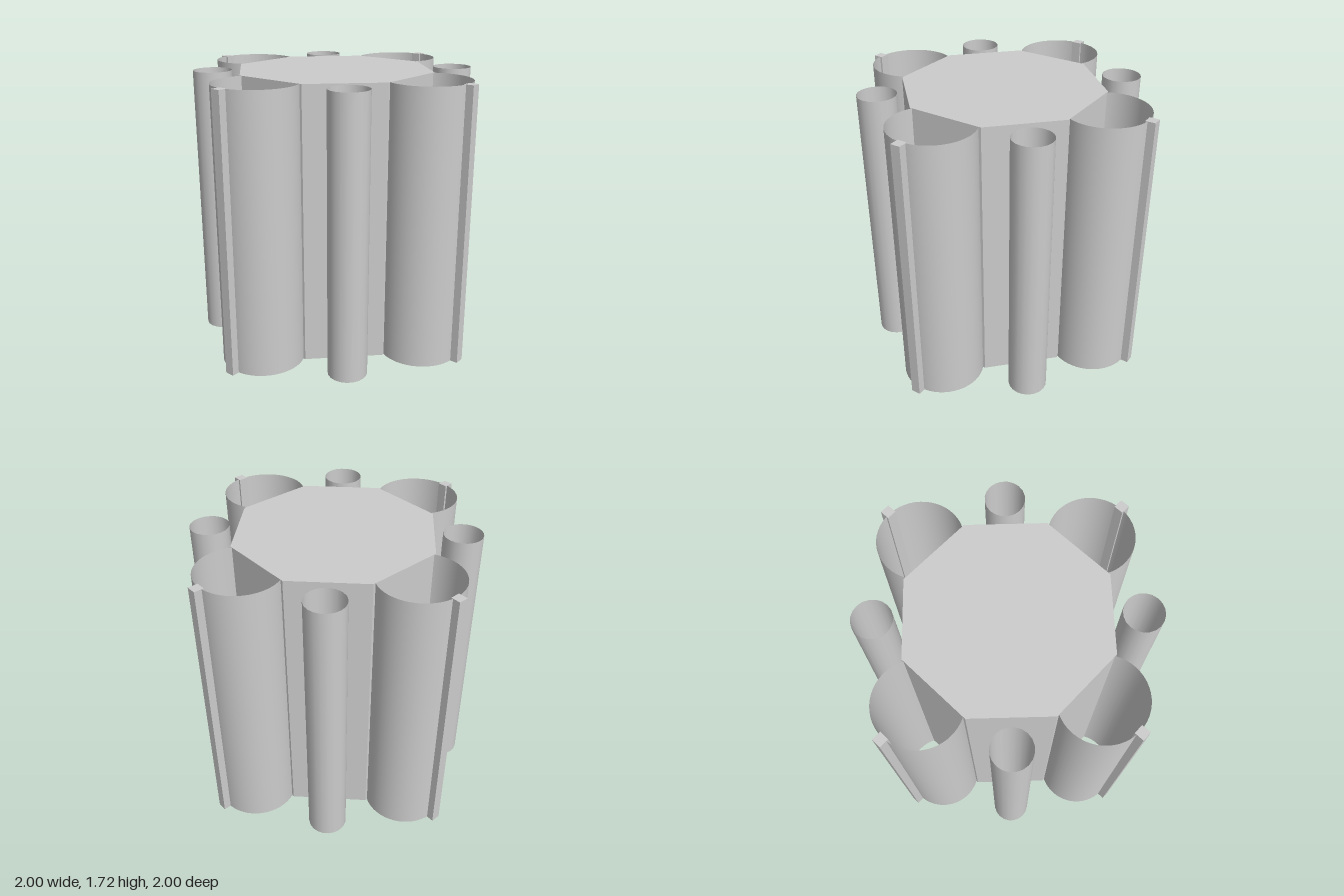
import * as THREE from 'three';

const H = 1.72;

export function createModel() {
  const model = new THREE.Group();
  const solidGrey = new THREE.MeshStandardMaterial({ color: 0xcccccc, flatShading: true });
  solidGrey.name = 'solid grey';
  // same grey for the open shells, seen from both sides
  const shellGrey = new THREE.MeshStandardMaterial({ color: 0xcccccc, side: THREE.DoubleSide });
  shellGrey.name = 'shell grey';

  const add = (name, geometry, material, x, z, turn = 0) => {
    const mesh = new THREE.Mesh(geometry, material);
    mesh.name = name;
    mesh.position.set(x, H / 2, z);
    mesh.rotation.y = turn;
    model.add(mesh);
  };

  // solid octagonal core
  add('core', new THREE.CylinderGeometry(0.634, 0.634, H, 8), solidGrey, 0, 0, Math.PI / 8);

  // open curved bays, ending just inside the core
  const reach = THREE.MathUtils.degToRad(117);
  const bay = new THREE.CylinderGeometry(0.255, 0.255, H, 32, 1, true, -reach, 2 * reach);
  const post = new THREE.BoxGeometry(0.06, H, 0.06);
  const tube = new THREE.CylinderGeometry(0.12, 0.12, H, 20, 1, true);

  for (let i = 0; i < 4; i++) {
    const a = (i * Math.PI) / 2;
    const d = a + Math.PI / 4;
    add('bay', bay, shellGrey, 0.7 * Math.sin(a), 0.7 * Math.cos(a), a);
    // square post on the outer face of each bay
    add('post', post, solidGrey, 0.97 * Math.sin(a), 0.97 * Math.cos(a), a);
    // free-standing open tube on each diagonal
    add('cornerTube', tube, shellGrey, 0.757 * Math.sin(d), 0.757 * Math.cos(d));
  }
  return model;
}
